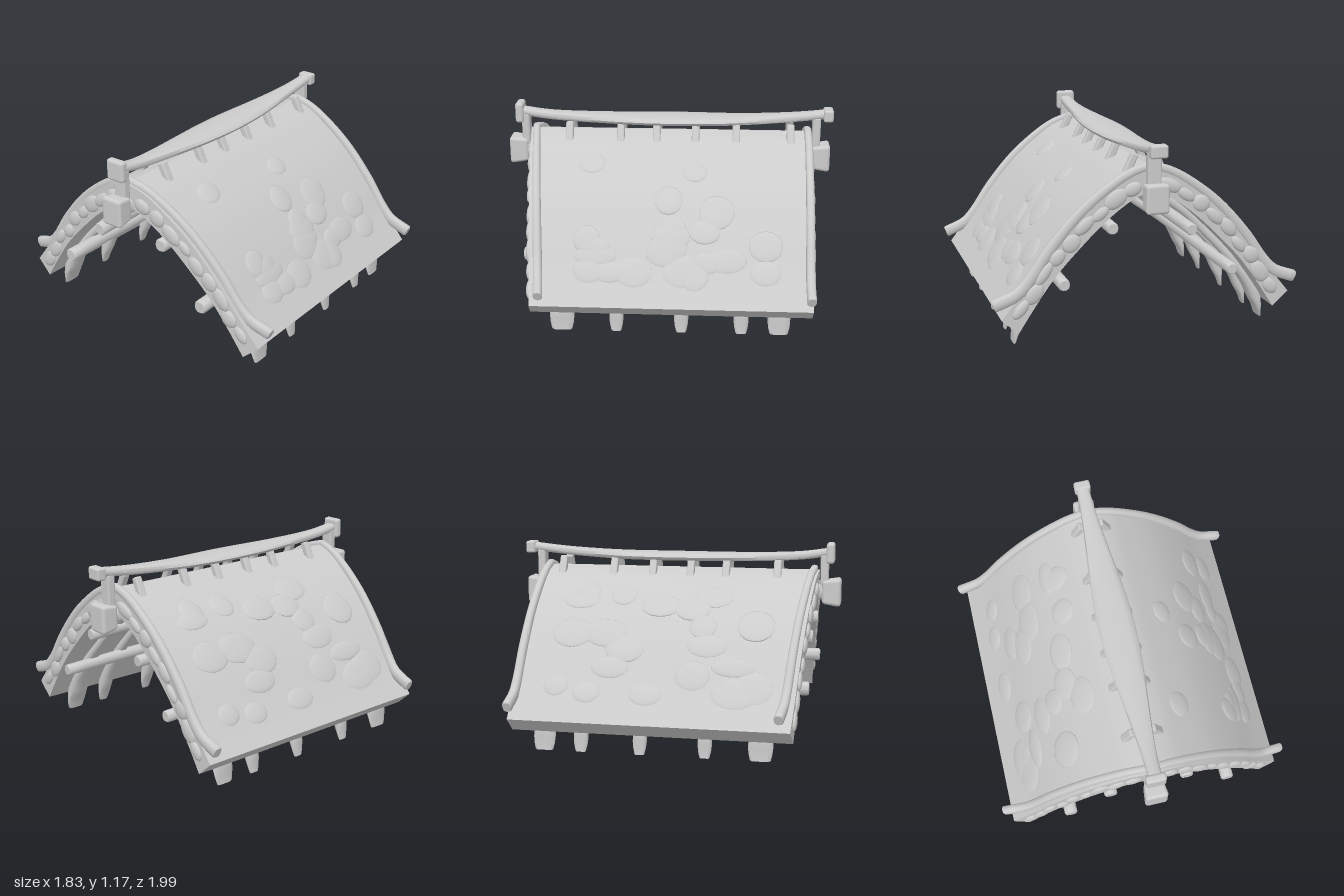
import * as THREE from 'three';
import { toCreasedNormals } from 'three/addons/utils/BufferGeometryUtils.js';
import { RoundedBoxGeometry } from 'three/addons/geometries/RoundedBoxGeometry.js';

const material = new THREE.MeshStandardMaterial({ color: 0xcccccc });
const BACK = -0.86;
const frontZ = (x) => 0.865 - 0.105 * Math.abs(x);

// Half profile of the thatch, ridge to eave
const curve2 = (pts) => new THREE.SplineCurve(pts.map((p) => new THREE.Vector2(...p)));
const outer = curve2([[0, 1.015], [0.1, 0.985], [0.2, 0.93], [0.4, 0.775], [0.58, 0.575], [0.72, 0.385], [0.86, 0.21]]);
const inner = curve2([[0, 0.875], [0.1, 0.84], [0.25, 0.735], [0.4, 0.595], [0.55, 0.435], [0.67, 0.27], [0.765, 0.125]]);

let seed = 7;
const random = (a, b) => {
  seed = (seed * 16807) % 2147483647;
  return a + (b - a) * seed / 2147483647;
};

function add(parent, name, geometry, x = 0, y = 0, z = 0) {
  const mesh = new THREE.Mesh(geometry, material);
  mesh.name = name;
  mesh.position.set(x, y, z);
  parent.add(mesh);
  return mesh;
}

// Sweeps a rounded section along a path; size(t) gives [half width, half height]
function sweep(points, side, size, steps = 24, sides = 12, power = 0.75) {
  const path = new THREE.CatmullRomCurve3(points.map((p) => new THREE.Vector3(...p)));
  const pos = [], index = [];
  const round = (v) => Math.sign(v) * Math.abs(v) ** power;
  for (let i = -2; i <= steps + 2; i++) {
    const t = Math.min(1, Math.max(0, i / steps));
    const scale = i === -2 || i === steps + 2 ? 0 : i === -1 || i === steps + 1 ? 0.85 : 1;
    const c = path.getPointAt(t);
    const tangent = path.getTangentAt(t);
    // the end faces bulge slightly
    if (i < 0) c.addScaledVector(tangent, -0.008);
    if (i > steps) c.addScaledVector(tangent, 0.008);
    const up = tangent.clone().cross(side).normalize();
    const [w, h] = size(t);
    for (let j = 0; j < sides; j++) {
      const a = j / sides * Math.PI * 2;
      const p = c.clone().addScaledVector(side, round(Math.cos(a)) * w * scale)
        .addScaledVector(up, round(Math.sin(a)) * h * scale);
      pos.push(p.x, p.y, p.z);
    }
  }
  for (let i = 0; i < steps + 4; i++) {
    for (let j = 0; j < sides; j++) {
      const a = i * sides + j, b = i * sides + (j + 1) % sides;
      index.push(a, b, a + sides, b, b + sides, a + sides);
    }
  }
  const g = new THREE.BufferGeometry();
  g.setAttribute('position', new THREE.Float32BufferAttribute(pos, 3));
  g.setIndex(index);
  return toCreasedNormals(g, 0.8);
}

// One thatch slope: profile extruded, then its front end angled back to the eave
function slopeGeometry(s) {
  const pts = [...outer.getPoints(28), ...inner.getPoints(28).reverse()];
  const shape = new THREE.Shape(pts.map((p) => new THREE.Vector2(s * p.x, p.y)));
  const g = new THREE.ExtrudeGeometry(shape, { depth: 1, bevelEnabled: false });
  const p = g.attributes.position;
  for (let i = 0; i < p.count; i++) p.setZ(i, p.getZ(i) > 0.5 ? frontZ(p.getX(i)) : BACK);
  return toCreasedNormals(g, 0.5);
}

export function createModel() {
  const model = new THREE.Group();
  model.name = 'thatchedRoof';
  const X = new THREE.Vector3(1, 0, 0), Z = new THREE.Vector3(0, 0, 1);
  const patchGeometry = new THREE.SphereGeometry(1, 14, 10);

  for (const s of [1, -1]) {
    const half = new THREE.Group();
    half.name = s > 0 ? 'leftSlope' : 'rightSlope';
    model.add(half);
    add(half, 'thatch', slopeGeometry(s));

    // Low worn patches over the thatch
    for (let i = 0; i < 22; i++) {
      const t = random(0.25, 0.87), p = outer.getPointAt(t), d = outer.getTangentAt(t);
      const patch = add(half, 'thatchPatch', patchGeometry, s * p.x, p.y - 0.004, random(-0.65, 0.55));
      patch.scale.set(random(0.06, 0.11), 0.013, random(0.07, 0.14));
      patch.rotation.z = Math.atan2(d.y, s * d.x) + (s < 0 ? Math.PI : 0);
    }
    // Thin straw layers on the gable ends
    for (let i = 0; i < 9; i++) {
      const t = 0.1 + i * 0.1;
      const p = outer.getPointAt(t).lerp(inner.getPointAt(t), random(0.4, 0.6)), d = outer.getTangentAt(t);
      for (const z of [frontZ(p.x), BACK]) {
        const layer = add(half, 'gableStraw', patchGeometry, s * p.x, p.y, z);
        layer.scale.set(random(0.05, 0.08), random(0.03, 0.05), 0.018);
        layer.rotation.z = Math.atan2(d.y, s * d.x);
      }
    }

    // Verge poles along the roof edges, kicking outward at the eaves
    for (const front of [true, false]) {
      const pts = [[0, 1.02], [0.1, 0.99], [0.2, 0.938], [0.4, 0.785], [0.58, 0.585], [0.7, 0.415], [0.77, 0.345], [0.895, 0.295]]
        .map(([x, y]) => [s * x, y, front ? 0.832 - 0.132 * x : -0.843]);
      add(half, front ? 'frontVergePole' : 'backVergePole',
        sweep(pts, Z, (t) => [0.022 + 0.006 * t, 0.024 + 0.012 * t], 36));
    }

    // Rafters under the thatch with broad chisel tips
    for (const [z, w] of [[0.6, 0.072], [0.28, 0.042], [-0.1, 0.042], [-0.45, 0.044], [-0.67, 0.066]]) {
      const pts = [[0.03, 0.835], [0.12, 0.8], [0.27, 0.695], [0.42, 0.545], [0.56, 0.395], [0.69, 0.22], [0.735, 0.115], [0.757, 0.018]]
        .map(([x, y]) => [s * x, y, z]);
      add(half, 'rafter', sweep(pts, Z, (t) => [
        0.026 + (w - 0.026) * THREE.MathUtils.smoothstep(t, 0.3, 0.95) - 0.012 * THREE.MathUtils.smoothstep(t, 0.95, 1),
        0.024 + 0.014 * THREE.MathUtils.smoothstep(t, 0.4, 0.85) - 0.03 * THREE.MathUtils.smoothstep(t, 0.87, 1),
      ], 32));
    }

    // Purlins crossing below the rafters
    for (const [x, y] of [s > 0 ? [0.228, 0.683] : [0.24, 0.64], s > 0 ? [0.507, 0.383] : [0.495, 0.383]]) {
      const pts = [[s * x, y, -0.87], [s * x + 0.008, y + 0.01, -0.3], [s * x - 0.006, y + 0.006, 0.3], [s * x, y, 0.84]];
      add(half, 'purlin', sweep(pts, X, (t) => [0.034 + 0.006 * t, 0.034 + 0.006 * t], 16, 10, 0.9));
    }

    // Pegs holding the ridge board
    for (const z of [0.615, 0.3, 0.08, -0.157, -0.405, -0.735]) {
      const peg = add(half, 'ridgePeg', new RoundedBoxGeometry(0.042, 0.125, 0.046, 2, 0.01), s * 0.083, 1.015, z);
      peg.rotation.z = s * 0.45;
    }
  }

  // Sagging ridge board, wide in the middle
  add(model, 'ridgeBoard', sweep(
    [[0, 1.125, 0.93], [0, 1.1, 0.75], [0, 1.085, 0.4], [0, 1.082, 0], [0, 1.085, -0.4], [0, 1.105, -0.75], [0, 1.13, -0.985]],
    X, (t) => [0.04 + 0.07 * Math.sin(Math.PI * t) ** 2, 0.026], 40, 12, 0.7));
  add(model, 'ridgeBoardFrontEnd', new RoundedBoxGeometry(0.12, 0.125, 0.05, 3, 0.018), 0, 1.118, 0.93);
  add(model, 'ridgeBoardBackEnd', new RoundedBoxGeometry(0.1, 0.075, 0.06, 3, 0.014), 0, 1.122, -0.965);

  // Ridge pole with carved end blocks and short posts
  add(model, 'ridgePole', sweep([[0, 0.865, -0.9], [0, 0.865, 0], [0, 0.88, 0.9]], X, () => [0.05, 0.05], 10));
  for (const [end, y, z, dir] of [['front', 0.88, 0.94, 1], ['back', 0.855, -0.925, -1]]) {
    const g = new RoundedBoxGeometry(0.14, 0.175, 0.115, 4, 0.022);
    const p = g.attributes.position;
    // taper toward the roof
    for (let i = 0; i < p.count; i++) {
      const k = 0.9 + dir * p.getZ(i) * 1.7;
      p.setXY(i, p.getX(i) * k, p.getY(i) * k);
    }
    add(model, end + 'RidgeBlock', g, 0, y, z);
    add(model, end + 'RidgePost', new RoundedBoxGeometry(0.08, 0.22, 0.05, 2, 0.012), 0, 1.0, dir * 0.895);
  }
  return model;
}
